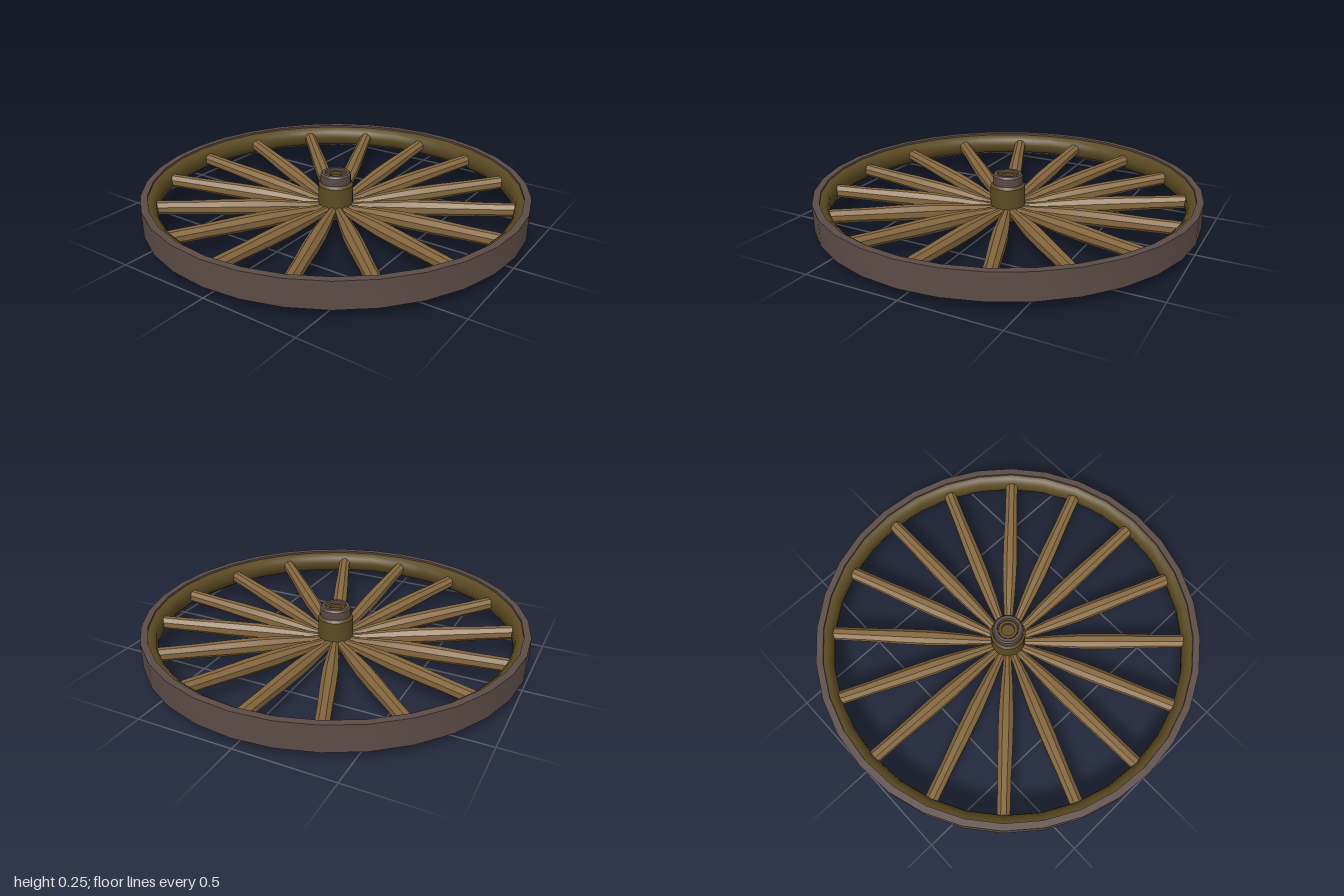
import * as THREE from 'three';
import { toCreasedNormals } from 'three/addons/utils/BufferGeometryUtils.js';

const paint = (name, color) => {
  const m = new THREE.MeshStandardMaterial({ color });
  m.name = name;
  return m;
};

// Turned part: profile of [radius, height], outer side running upward
const turned = (profile, sides, crease) => toCreasedNormals(
  new THREE.LatheGeometry(profile.map(([r, y]) => new THREE.Vector2(r, y)), sides), crease);

export function createModel() {
  const iron = paint('dark iron', 0x5c4c47);
  const darkWood = paint('dark wood', 0x5c4a22);
  const spokeWood = paint('spoke wood', 0x86683f);

  const wheel = new THREE.Group();
  wheel.name = 'wagonWheel';
  const add = (name, geometry, material) => {
    const mesh = new THREE.Mesh(geometry, material);
    mesh.name = name;
    wheel.add(mesh);
    return mesh;
  };

  // Iron tyre around the wooden rim
  add('tyre', turned([
    [0.965, 0.055], [1, 0.055], [1, 0.19], [0.965, 0.19], [0.965, 0.055],
  ], 32, 0.6), iron);

  // Wooden rim, rounded toward the inside
  add('rim', turned([
    [0.968, 0.18], [0.945, 0.175], [0.925, 0.155], [0.92, 0.122],
    [0.925, 0.09], [0.945, 0.07], [0.968, 0.065],
  ], 32, 0.7), darkWood);

  // Hub body with bevelled lower end
  add('hub', turned([
    [0, 0], [0.07, 0], [0.092, 0.03], [0.092, 0.185], [0.08, 0.198], [0, 0.198],
  ], 20, 0.6), darkWood);

  // Iron hub band with an open top
  add('hubBand', turned([
    [0.078, 0.19], [0.08, 0.2], [0.08, 0.24], [0.072, 0.25],
    [0.056, 0.25], [0.056, 0.198],
  ], 20, 0.6), iron);

  // Raised wooden axle ring inside the band
  add('axleRing', turned([
    [0.05, 0.198], [0.05, 0.238], [0.034, 0.238], [0.034, 0.222], [0, 0.222],
  ], 20, 0.6), darkWood);

  // Hewn spokes: thin at the hub, swelling in the middle, dished up to the rim
  const inner = new THREE.Vector3(0.04, 0.057, 0);
  const outer = new THREE.Vector3(0.925, 0.121, 0);
  const length = inner.distanceTo(outer);
  const profile = [
    [0, 0], [0.022, 0], [0.024, 0.1], [0.034, 0.24], [0.042, 0.42],
    [0.041, 0.6], [0.036, 0.8], [0.035, 1], [0, 1],
  ].map(([r, t]) => [r, t * length]);
  const spoke = turned(profile, 8, 0.15);
  spoke.rotateY(Math.PI / 8);
  spoke.rotateZ(Math.atan2(outer.y - inner.y, outer.x - inner.x) - Math.PI / 2);
  spoke.translate(inner.x, inner.y, 0);
  for (let i = 0; i < 16; i++) {
    add(`spoke${i + 1}`, spoke, spokeWood).rotation.y = i * Math.PI / 8;
  }

  return wheel;
}
